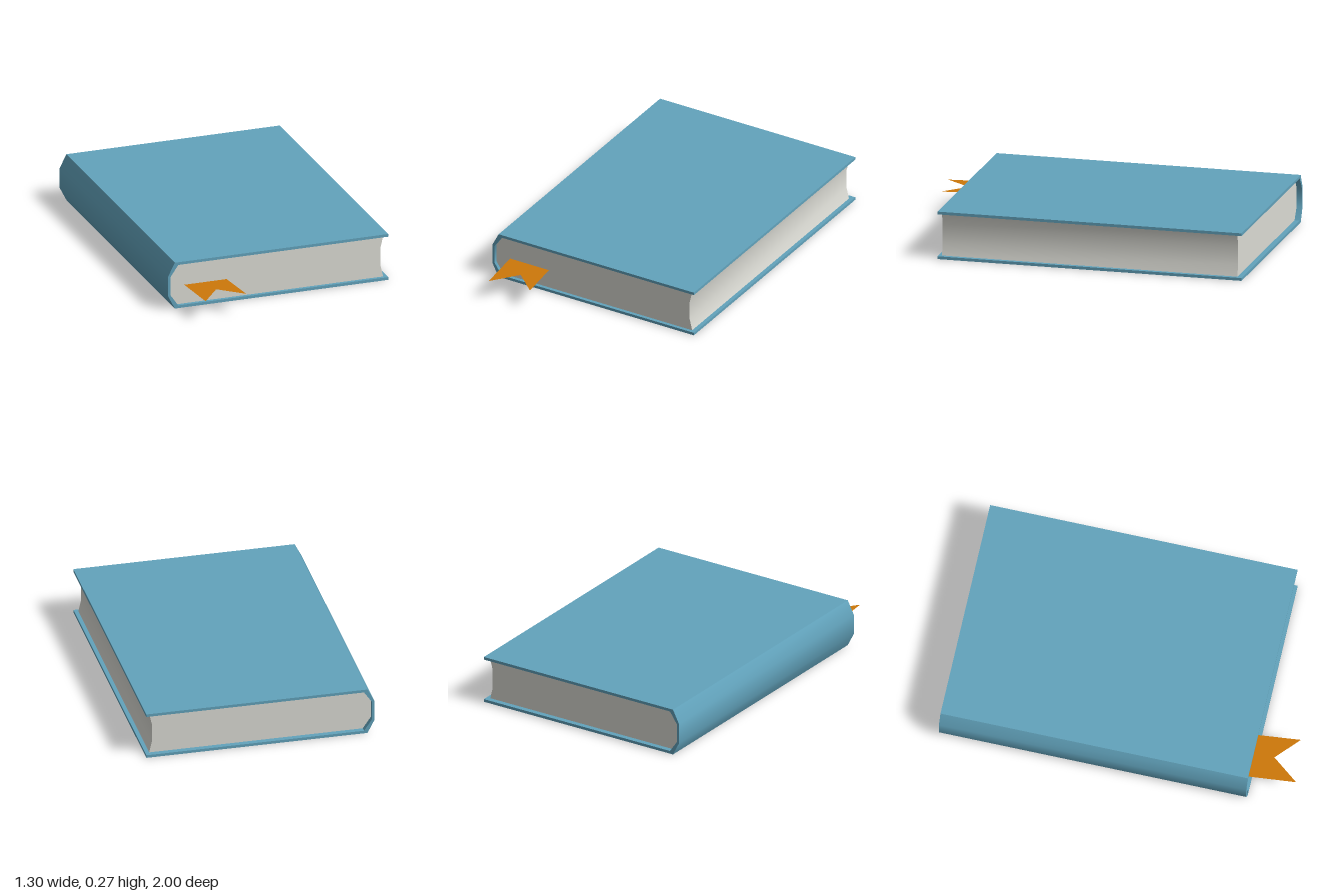
import * as THREE from 'three';
import { toCreasedNormals } from 'three/addons/utils/BufferGeometryUtils.js';

function makeMaterial(name, color, side = THREE.FrontSide) {
  const material = new THREE.MeshStandardMaterial({ color, side });
  material.name = name;
  return material;
}

const toShape = (points) => new THREE.Shape(points.map(([x, y]) => new THREE.Vector2(x, y)));

// Extrude an x-y profile from zBack to zFront, smooth on gentle bends only
function extrudeProfile(name, points, zBack, zFront, material) {
  const geometry = new THREE.ExtrudeGeometry(toShape(points), {
    depth: zFront - zBack, bevelEnabled: false,
  });
  geometry.translate(0, 0, zBack);
  const mesh = new THREE.Mesh(toCreasedNormals(geometry, 0.75), material);
  mesh.name = name;
  return mesh;
}

export function createModel() {
  const book = new THREE.Group();
  book.name = 'book';

  const coverBlue = makeMaterial('cover blue', 0x62a3bc);
  const paper = makeMaterial('paper', 0xdcdcd5);
  const ribbonOrange = makeMaterial('ribbon orange', 0xcd780a, THREE.DoubleSide);

  // Inside of the cover, from lower to upper board around the spine
  const inner = [[-0.59, 0.016], [-0.636, 0.083], [-0.636, 0.19], [-0.59, 0.257]];

  // Cover: two boards joined by a faceted spine
  const coverProfile = [
    [0.65, 0.273], [-0.61, 0.273], [-0.65, 0.195], [-0.65, 0.078], [-0.61, 0], [0.65, 0],
    [0.65, 0.016], ...inner, [0.65, 0.257],
  ];
  book.add(extrudeProfile('cover', coverProfile, -1, 0.745, coverBlue));

  // Page block with a hollowed fore edge
  const pageProfile = [
    ...inner, [0.627, 0.257], [0.611, 0.19], [0.611, 0.083], [0.627, 0.016],
  ];
  book.add(extrudeProfile('pages', pageProfile, -0.97, 0.725, paper));

  // Bookmark ribbon with a swallowtail end, lying between the pages
  const ribbon = new THREE.Mesh(
    new THREE.ShapeGeometry(toShape([
      [-0.55, 0.7], [-0.3, 0.7], [-0.272, 0.972], [-0.405, 0.85], [-0.522, 1],
    ])).rotateX(Math.PI / 2),
    ribbonOrange,
  );
  ribbon.position.y = 0.126;
  ribbon.name = 'bookmark ribbon';
  book.add(ribbon);

  return book;
}
